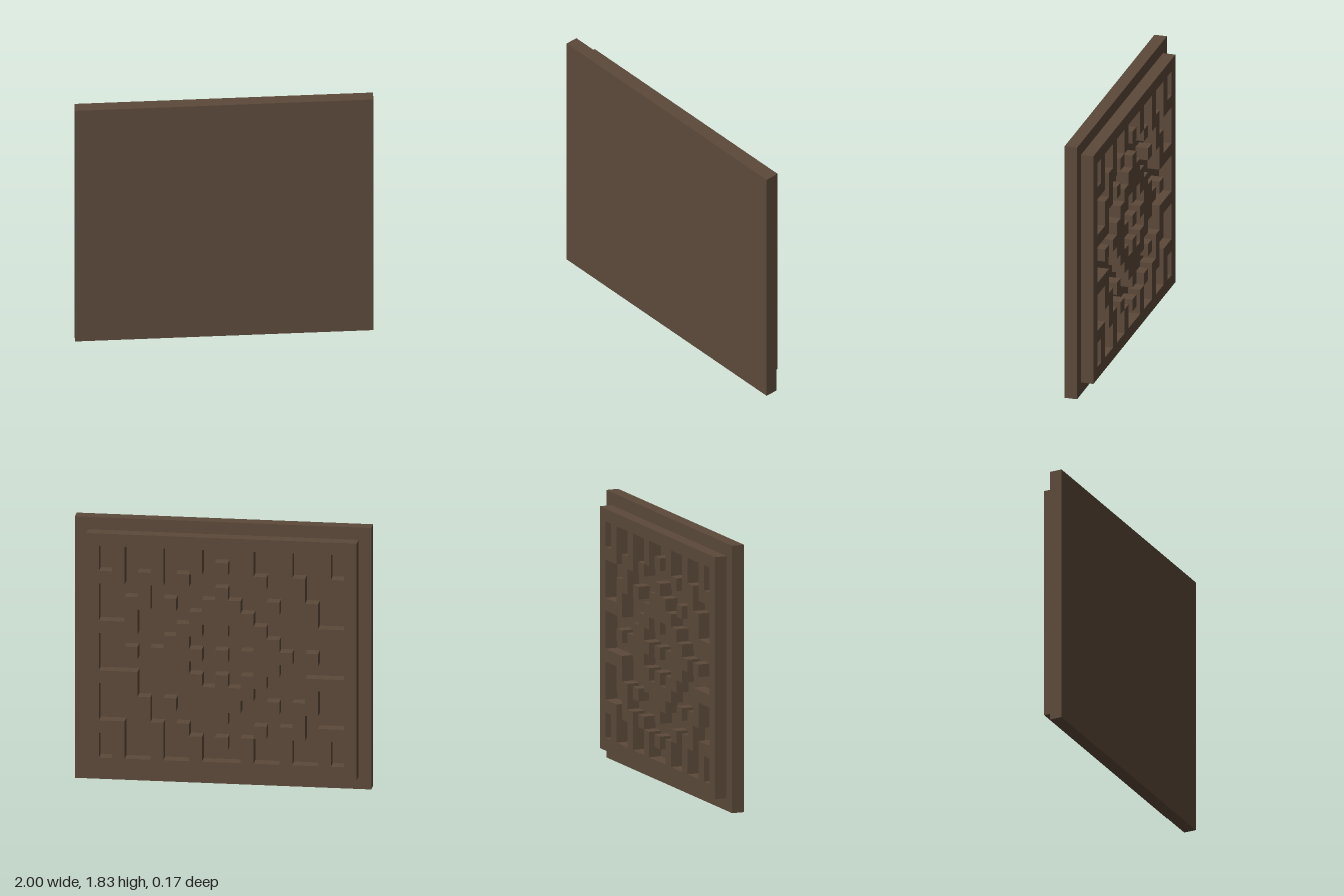
import * as THREE from 'three';
import { mergeGeometries } from 'three/addons/utils/BufferGeometryUtils.js';

const U = 2 / 23; // one grid cell
const COLS = 21, ROWS = 19;
const MID_Y = 10.5 * U;

// One quarter of the carved pattern ('#' raised, '.' cut through), mirrored both ways
const QUARTER = [
  '###########',
  '#.#..#..#..',
  '#.#..#..#.#',
  '###.##.#...',
  '#...#.....#',
  '#..##.#..##',
  '#..#....###',
  '####...##.#',
  '#.....##...',
  '#..#.####.#',
];

function isRaised(c, r) {
  if (c < 0 || r < 0 || c >= COLS || r >= ROWS) return false;
  return QUARTER[Math.min(r, ROWS - 1 - r)][Math.min(c, COLS - 1 - c)] === '#';
}

// Square face of a cell, turned to point along the given direction
function cellFace(x, y, z, dx, dy, dz) {
  const face = new THREE.PlaneGeometry(U, U);
  if (dz < 0) face.rotateY(Math.PI);
  else if (dx) face.rotateY(dx * Math.PI / 2);
  else face.rotateX(-dy * Math.PI / 2);
  return face.translate(x + dx * U / 2, y + dy * U / 2, z + dz * U / 2);
}

function carvedGeometry() {
  const faces = [];
  for (let r = 0; r < ROWS; r++) {
    for (let c = 0; c < COLS; c++) {
      if (!isRaised(c, r)) continue;
      const x = (c - (COLS - 1) / 2) * U;
      const y = MID_Y + ((ROWS - 1) / 2 - r) * U;
      faces.push(cellFace(x, y, -U / 2, 0, 0, -1));
      // Walls only where the neighbouring cell is cut away
      for (const [dx, dy] of [[1, 0], [-1, 0], [0, 1], [0, -1]]) {
        if (!isRaised(c + dx, r - dy)) faces.push(cellFace(x, y, -U / 2, dx, dy, 0));
      }
    }
  }
  return mergeGeometries(faces);
}

export function createModel() {
  const model = new THREE.Group();
  model.name = 'carvedPanel';
  const brown = new THREE.MeshStandardMaterial({ color: 0x5c4a3a });
  brown.name = 'dark brown';

  // Plain slab forming the front and the floor of the carving
  const slab = new THREE.Mesh(new THREE.BoxGeometry(23 * U, 21 * U, U), brown);
  slab.name = 'backingSlab';
  slab.position.set(0, MID_Y, U / 2);

  // Raised geometric relief on the rear
  const relief = new THREE.Mesh(carvedGeometry(), brown);
  relief.name = 'raisedRelief';

  model.add(slab, relief);
  return model;
}
